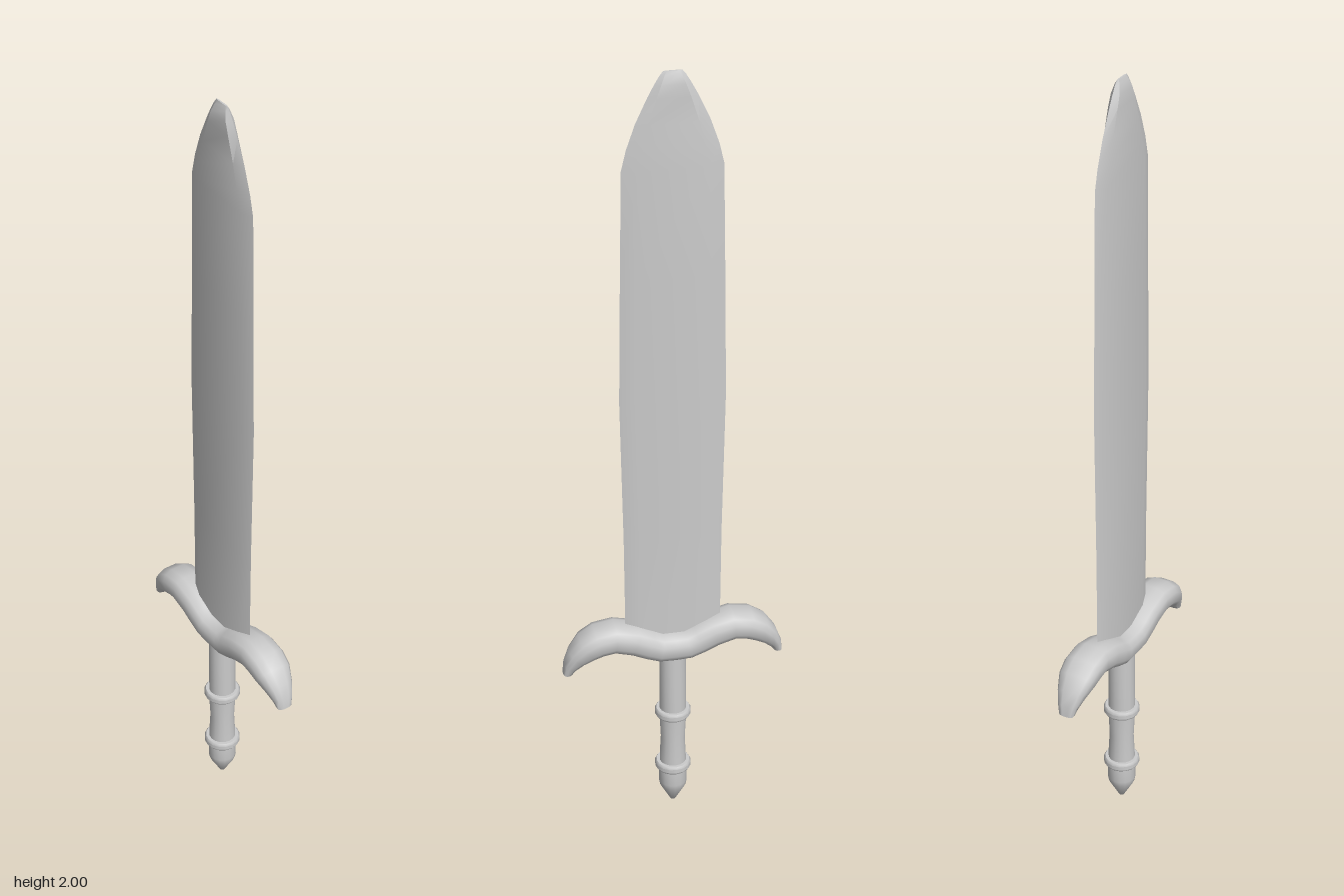
import * as THREE from 'three';
import { toCreasedNormals } from 'three/addons/utils/BufferGeometryUtils.js';

const material = new THREE.MeshStandardMaterial({ color: 0xcccccc });

// Skin a list of equal-length rings (counter-clockwise about the travel direction) and cap both ends
function loft(rings, crease) {
  const n = rings[0].length, last = (rings.length - 1) * n, index = [];
  for (let i = 0; i < rings.length - 1; i++) {
    for (let j = 0; j < n; j++) {
      const a = i * n + j, b = i * n + (j + 1) % n;
      index.push(a, b, b + n, a, b + n, a + n);
    }
  }
  for (let j = 1; j < n - 1; j++) {
    index.push(0, j + 1, j, last, last + j, last + j + 1);
  }
  const geometry = new THREE.BufferGeometry().setFromPoints(rings.flat());
  geometry.setIndex(index);
  return toCreasedNormals(geometry, crease);
}

// Broad blade: hexagonal sections [y, half width, half thickness]
function bladeGeometry() {
  const stations = [
    [0.5, 0.12, 0.012], [0.8, 0.122, 0.012], [1.18, 0.129, 0.012], [1.5, 0.124, 0.012],
    [1.77, 0.119, 0.012], [1.82, 0.107, 0.012], [1.88, 0.086, 0.012],
    [1.94, 0.058, 0.012], [1.97, 0.042, 0.011], [1.99, 0.03, 0.006], [2, 0.022, 0.002],
  ];
  const rings = stations.map(([y, w, t]) => {
    const flat = w - Math.min(0.035, w * 0.32);
    return [[0, w], [t, flat], [t, -flat], [0, -w], [-t, -flat], [-t, flat]]
      .map(([x, z]) => new THREE.Vector3(x, y, z));
  });
  return loft(rings, 0.45);
}

// Curved crossguard: mirrored stations [z, y, half height, half width]
function guardGeometry() {
  const half = [
    [0.035, 0.488, 0.037, 0.05], [0.065, 0.5, 0.038, 0.05], [0.1, 0.516, 0.038, 0.05],
    [0.15, 0.529, 0.037, 0.05], [0.19, 0.523, 0.036, 0.05], [0.218, 0.508, 0.033, 0.047],
    [0.245, 0.482, 0.025, 0.036], [0.262, 0.456, 0.017, 0.026], [0.269, 0.435, 0.011, 0.02],
  ];
  const stations = [
    ...half.map(([z, ...rest]) => [-z, ...rest]).reverse(),
    [0, 0.487, 0.037, 0.05],
    ...half,
  ];
  const sides = 12;
  const round = (v) => Math.sign(v) * Math.abs(v) ** 0.75; // slightly squared oval
  const rings = stations.map(([z, y, h, w], i) => {
    const end = i === 0 || i === stations.length - 1;
    const p = stations[Math.max(i - 1, 0)], q = stations[Math.min(i + 1, stations.length - 1)];
    // Tip sections lie level, the others stand square to the curve
    const angle = end ? (i ? -1 : 1) * Math.PI / 2 : Math.atan2(q[1] - p[1], q[0] - p[0]);
    return Array.from({ length: sides }, (_, j) => {
      const a = (j + 0.5) / sides * Math.PI * 2;
      const up = h * round(Math.sin(a));
      return new THREE.Vector3(w * round(Math.cos(a)), y + up * Math.cos(angle), z - up * Math.sin(angle));
    });
  });
  return loft(rings, 0.95);
}

// Turned part from [radius, y] points, bottom to top
function turned(points) {
  const profile = points.map(([r, y]) => new THREE.Vector2(r, y));
  return toCreasedNormals(new THREE.LatheGeometry(profile, 16), 0.7);
}

export function createModel() {
  const group = new THREE.Group();
  const add = (name, geometry, y = 0) => {
    const mesh = new THREE.Mesh(geometry, material);
    mesh.name = name;
    mesh.position.y = y;
    group.add(mesh);
  };

  add('blade', bladeGeometry());
  add('crossguard', guardGeometry());

  // Grip with a slight waist between the collars
  add('grip', turned([[0, 0.1], [0.034, 0.1], [0.034, 0.14], [0.031, 0.2], [0.034, 0.26],
    [0.034, 0.3], [0.034, 0.47], [0, 0.47]]));

  // Collars around the grip
  const collar = turned([[0.03, -0.011], [0.042, -0.011], [0.046, -0.005], [0.046, 0.005],
    [0.042, 0.011], [0.03, 0.011]]);
  add('upperCollar', collar, 0.281);
  add('lowerCollar', collar, 0.118);

  // Pointed pommel
  add('pommel', turned([[0, 0], [0.007, 0.003], [0.033, 0.05], [0.036, 0.065], [0.035, 0.112], [0, 0.112]]));

  return group;
}
